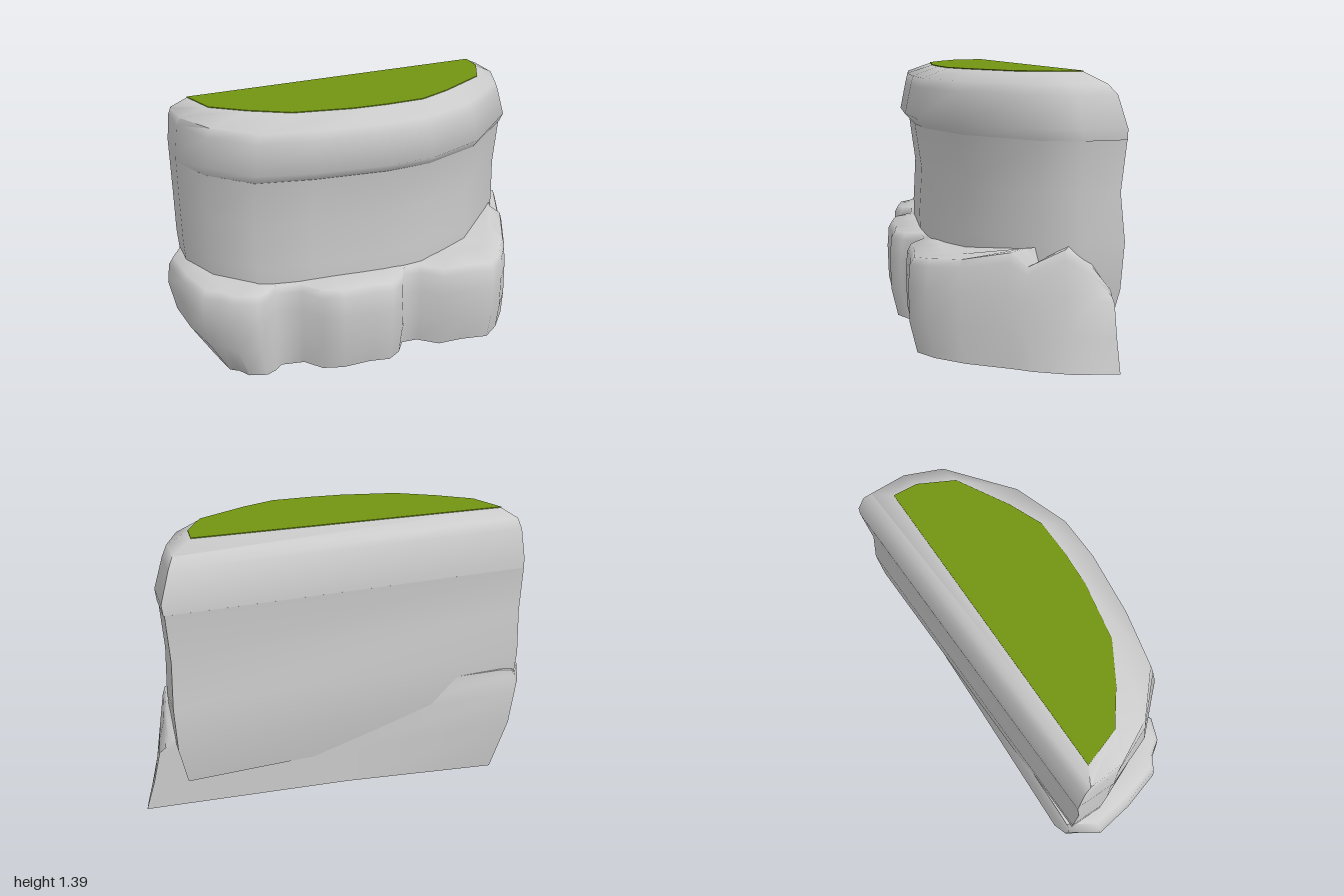
import * as THREE from 'three';
import { toCreasedNormals } from 'three/addons/utils/BufferGeometryUtils.js';

// Skin a stack of closed cross-sections (counter-clockwise from above, bottom first) and cap the ends
function loft(rows, bottom = true) {
  const n = rows[0].length, pos = rows.flat(2), idx = [];
  for (let j = 0; j < rows.length - 1; j++) {
    for (let i = 0; i < n; i++) {
      const a = j * n + i, b = j * n + (i + 1) % n;
      idx.push(a, b, b + n, a, b + n, a + n);
    }
  }
  const cap = (j, flip) => {
    const outline = rows[j].map(([x, , z]) => new THREE.Vector2(x, -z));
    for (const [a, b, c] of THREE.ShapeUtils.triangulateShape(outline, [])) {
      const t = flip ? [a, c, b] : [a, b, c];
      idx.push(...t.map((k) => k + j * n));
    }
  };
  if (bottom) cap(0, true);
  cap(rows.length - 1, false);
  const geo = new THREE.BufferGeometry();
  geo.setAttribute('position', new THREE.Float32BufferAttribute(pos, 3));
  geo.setIndex(idx);
  return toCreasedNormals(geo, 1.2);
}

// Half-moon plans, u across and v from back to front: full outline and the rounder one at the top
const FULL = [[-1, 0], [-1, 0.26], [-0.9, 0.58], [-0.69, 0.85], [-0.39, 0.94], [0, 1],
  [0.25, 0.99], [0.58, 0.85], [0.92, 0.5], [1, 0.26], [1, 0]];
const TOP = [[-1, 0], [-0.92, 0.39], [-0.72, 0.64], [-0.48, 0.87], [-0.12, 0.98], [0.1, 1],
  [0.35, 0.99], [0.56, 0.85], [0.88, 0.57], [0.99, 0.24], [1, 0]];

function halfMoon([y, xl, xr, zb, zf, round = 0]) {
  return FULL.map(([u0, v0], i) => {
    const u = THREE.MathUtils.lerp(u0, TOP[i][0], round);
    const v = THREE.MathUtils.lerp(v0, TOP[i][1], round);
    const skew = THREE.MathUtils.lerp(0.037, 0.015, round) * u * (1 - v);
    return [(xl + xr) / 2 + u * (xr - xl) / 2, y, zb + v * (zf - zb) - skew];
  });
}

// Lobed plan of the base: x, z and the lift of its upper edge
const LOBES = [[-0.91, -0.39, 0], [-1, -0.26, 0], [-0.97, -0.06, 0], [-0.91, 0.14, 0], [-0.84, 0.18, 0],
  [-0.79, 0.25, 0], [-0.68, 0.29, 0], [-0.62, 0.27, 0], [-0.57, 0.23, 0], [-0.45, 0.26, 0],
  [-0.38, 0.36, 0], [-0.28, 0.4, 0], [-0.14, 0.405, 0], [-0.04, 0.43, 0], [0.03, 0.385, 0],
  [0.08, 0.31, 0], [0.16, 0.32, 0], [0.25, 0.405, 0], [0.38, 0.415, 0], [0.51, 0.445, 0],
  [0.6, 0.38, 0.01], [0.7, 0.26, 0.02], [0.82, 0.06, 0.06], [0.87, -0.01, 0],
  [0.95, -0.17, 0.08], [0.98, -0.29, 0], [1, -0.38, -0.11], [0, -0.385, 0]];

// Each row pulls in mostly at its two ends
function lobedRow([y, xl, xr, s, lift]) {
  return LOBES.map(([u, z, up]) => {
    let h = y + up * lift;
    if (y === 0) { // underside slopes down to the back left
      const back = (0.445 - z) / 0.835;
      h = Math.max(0, 0.105 - 0.115 * back * ((1 - u) / 2) ** 1.4);
    }
    const pull = u < 0 ? xl + 1 : xr - 1;
    return [u + pull * u ** 4, h, -0.385 + (z + 0.385) * s];
  });
}

export function createModel() {
  const group = new THREE.Group();
  const stone = new THREE.MeshStandardMaterial({ color: 0xcccccc });
  const green = new THREE.MeshStandardMaterial({ color: 0x729512 });
  const add = (name, geo, material) => {
    const mesh = new THREE.Mesh(geo, material);
    mesh.name = name;
    group.add(mesh);
  };

  // Lumpy base with three bulges at the front
  add('base', loft([
    [0, -0.84, 1, 0.955, 0],
    [0.25, -0.97, 0.955, 0.995, 0],
    [0.42, -1, 0.92, 1, 0.2],
    [0.52, -0.985, 0.89, 0.99, 0.9],
    [0.555, -0.96, 0.875, 0.965, 1],
    [0.565, -0.87, 0.83, 0.8, 1],
  ].map(lobedRow)), stone);

  // Half-moon wall with a flat, slightly wavy back
  add('body', loft([
    [0.24, -0.86, 0.8, -0.375, 0.25],
    [0.43, -0.9, 0.84, -0.405, 0.27],
    [0.65, -0.91, 0.85, -0.415, 0.275],
    [0.87, -0.91, 0.84, -0.392, 0.26],
    [1.1, -0.905, 0.855, -0.408, 0.295],
  ].map(halfMoon)), stone);

  // Overhanging rim with a bevelled top edge
  const lip = [1.383, -0.81, 0.7, -0.285, 0.187, 1];
  add('rim', loft([
    [1.1, -0.905, 0.86, -0.408, 0.295],
    [1.15, -0.905, 0.865, -0.405, 0.345],
    [1.29, -0.893, 0.82, -0.375, 0.312, 0.05],
    [1.335, -0.885, 0.795, -0.34, 0.3, 0.15],
    lip,
  ].map(halfMoon), false), stone);

  // Planting surface inside the rim
  const low = halfMoon(lip);
  add('greenTop', loft([low, low.map(([x, y, z]) => [x, y + 0.004, z])]), green);

  return group;
}
